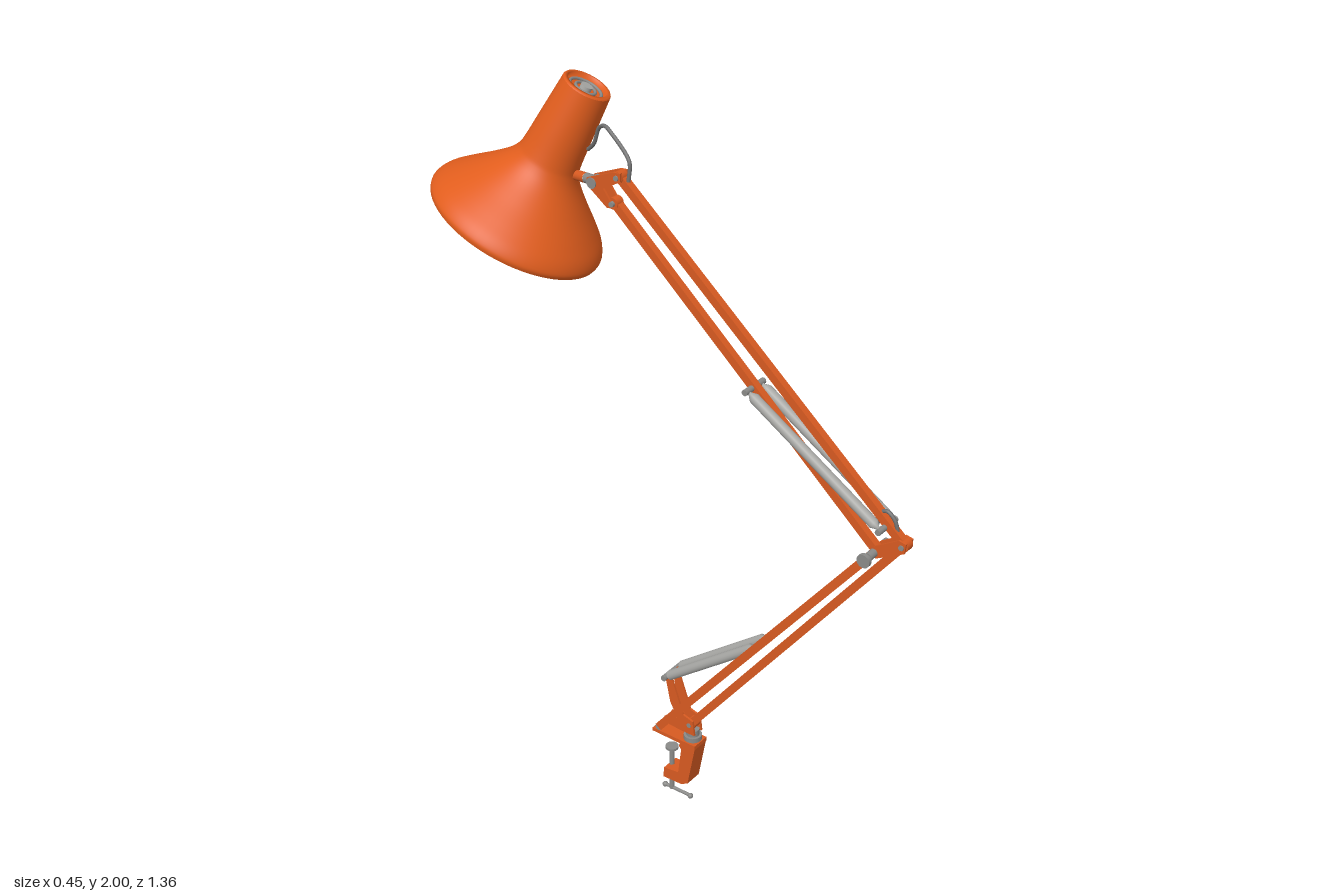
import * as THREE from 'three';

const mat = (name, color) => {
  const m = new THREE.MeshStandardMaterial({ color });
  m.name = name;
  return m;
};

export function createModel() {
  const shadeOrange = mat('shadeEnamel', 0xe15d1d);
  const orange = mat('armEnamel', 0xd75a21);
  const steel = mat('steel', 0x8a8a88);
  const spring = mat('springGrey', 0xa8a8a5);
  const liner = mat('shadeLining', 0xb4b2ae);
  const glass = mat('bulbGlass', 0xc4c4c2);
  const dark = mat('cableGrey', 0x707070);

  const root = new THREE.Group();
  root.name = 'deskLamp';
  // The arm lies in one upright plane, slightly off centre
  const arm = new THREE.Group();
  arm.name = 'armAndClamp';
  arm.position.x = 0.038;
  root.add(arm);

  const add = (parent, name, geo, material, x = 0, y = 0, z = 0) => {
    const m = new THREE.Mesh(geo, material);
    m.name = name;
    m.position.set(x, y, z);
    parent.add(m);
    return m;
  };
  // Points in the arm plane are [z, y]
  const V = (p, x = 0) => new THREE.Vector3(x, p[1], p[0]);
  const tilt = (a, b) => Math.atan2(b[0] - a[0], b[1] - a[1]);
  const dist = (a, b) => Math.hypot(b[0] - a[0], b[1] - a[1]);
  const between = (name, geo, material, a, b, x = 0) => {
    const m = add(arm, name, geo, material, x, (a[1] + b[1]) / 2, (a[0] + b[0]) / 2);
    m.rotation.x = tilt(a, b);
    return m;
  };
  const rod = (name, a, b, w, t) =>
    between(name, new THREE.BoxGeometry(w, dist(a, b), t), orange, a, b);
  // Round pin running sideways
  const pin = (name, p, r, len, material, x = 0) => {
    const geo = new THREE.CylinderGeometry(r, r, len, 20).rotateZ(Math.PI / 2);
    return add(arm, name, geo, material, x, p[1], p[0]);
  };
  // Flat plate outlined in the arm plane
  const plate = (name, pts, width, x = 0) => {
    const shape = new THREE.Shape(pts.map((p) => new THREE.Vector2(p[0], p[1])));
    const geo = new THREE.ExtrudeGeometry(shape, { depth: width, bevelEnabled: false });
    geo.translate(0, 0, -width / 2).rotateY(-Math.PI / 2);
    return add(arm, name, geo, orange, x);
  };
  const cable = (name, pts, x0, x1, r) => {
    const n = pts.length - 1;
    const curve = new THREE.CatmullRomCurve3(pts.map((p, i) => V(p, x0 + ((x1 - x0) * i) / n)));
    add(arm, name, new THREE.TubeGeometry(curve, 36, r, 8), dark);
  };

  // Joints
  const elbowTop = [0.663, 1.075], elbowLow = [0.589, 1.033];
  const headTop = [-0.175, 1.793], headLow = [-0.19, 1.722];
  const baseFront = [0.05, 0.268], baseBack = [-0.022, 0.255], baseHorn = [-0.02, 0.405];

  // Upper arm: two parallel bars
  rod('upperArmTopBar', elbowTop, headTop, 0.02, 0.022);
  rod('upperArmLowerBar', elbowLow, headLow, 0.02, 0.022);
  // Lower arm: one central bar, and a bowed pair
  rod('lowerArmCentreBar', baseFront, elbowTop, 0.02, 0.022);
  const L = dist(baseBack, elbowLow);
  for (const s of [-1, 1]) {
    const shape = new THREE.Shape();
    shape.moveTo(0.044 * s, -L / 2);
    shape.lineTo(0.06 * s, -L / 2);
    shape.lineTo(0.06 * s, L * 0.08);
    shape.quadraticCurveTo(0.058 * s, L * 0.25, 0.041 * s, L / 2);
    shape.lineTo(0.027 * s, L / 2);
    shape.quadraticCurveTo(0.043 * s, L * 0.25, 0.044 * s, L * 0.08);
    shape.closePath();
    const geo = new THREE.ExtrudeGeometry(shape, { depth: 0.022, bevelEnabled: false, curveSegments: 10 });
    geo.translate(0, 0, -0.011);
    between('lowerArmSideBar', geo, orange, baseBack, elbowLow);
  }

  // Elbow, head and base brackets: pairs of cheek plates
  for (const s of [-1, 1]) {
    plate('elbowBracket', [[0.672, 1.061], [0.594, 1.018], [0.576, 1.032], [0.588, 1.05],
      [0.655, 1.092], [0.675, 1.088]], 0.006, 0.014 * s);
    plate('headBracket', [[-0.162, 1.808], [-0.185, 1.806], [-0.265, 1.772], [-0.262, 1.752],
      [-0.205, 1.71], [-0.182, 1.712], [-0.215, 1.756], [-0.163, 1.786]], 0.006, 0.014 * s);
    plate('baseBracket', [[0.068, 0.24], [0.062, 0.285], [0.03, 0.295], [-0.013, 0.414], [-0.03, 0.405],
      [-0.012, 0.32], [0.012, 0.275], [-0.032, 0.262], [-0.03, 0.244], [0.02, 0.24]], 0.006, 0.016 * s);
  }
  for (const p of [elbowTop, headTop, headLow, baseFront]) {
    pin('pivotBoss', p, 0.015, 0.024, orange);
    pin('pivotPin', p, 0.007, 0.04, steel);
  }
  pin('elbowPin', elbowLow, 0.011, 0.086, steel);
  pin('basePin', baseBack, 0.01, 0.118, steel);
  pin('elbowKnobStem', elbowLow, 0.007, 0.03, steel, -0.05);
  pin('elbowKnob', elbowLow, 0.018, 0.01, steel, -0.06);

  // Balance springs, in pairs between cross pins
  const springPair = (a, b, pinA, pinB) => {
    const len = dist(a, b);
    const prof = [[0.004, -0.5], [0.005, -0.48], [0.0135, -0.45], [0.0135, 0.45], [0.005, 0.48], [0.004, 0.5]]
      .map(([r, t]) => new THREE.Vector2(r, t * len));
    for (const s of [-1, 1]) {
      between('balanceSpring', new THREE.LatheGeometry(prof, 16), spring, a, b, 0.027 * s);
    }
    pin('springPin', a, 0.008, pinA, steel);
    pin('springPin', b, 0.008, pinB, steel);
  };
  springPair([0.61, 1.108], [0.223, 1.354], 0.08, 0.08);
  springPair(baseHorn, [0.265, 0.624], 0.08, 0.09);

  // Cable loops at the elbow and at the head
  cable('elbowCable', [[0.645, 1.085], [0.632, 1.13], [0.61, 1.148], [0.592, 1.138], [0.585, 1.105]], 0, 0, 0.005);
  cable('headCable', [[-0.143, 1.79], [-0.143, 1.835], [-0.16, 1.855], [-0.205, 1.892], [-0.228, 1.903],
    [-0.25, 1.893], [-0.272, 1.845], [-0.295, 1.822]], -0.01, 0.028, 0.005);

  // Swivel post and table clamp
  const post = new THREE.CylinderGeometry(0.018, 0.018, 0.04, 20);
  add(arm, 'swivelPost', post, steel, 0, 0.228, 0.05);
  add(arm, 'swivelCollar', new THREE.CylinderGeometry(0.025, 0.025, 0.014, 20), steel, 0, 0.222, 0.05);
  plate('clampTop', [[0.076, 0.213], [-0.066, 0.213], [-0.066, 0.203], [0.076, 0.201]], 0.054);
  plate('clampBody', [[0.076, 0.206], [0.028, 0.206], [0.022, 0.192], [0.03, 0.18], [0.02, 0.098],
    [-0.028, 0.092], [-0.03, 0.06], [0.03, 0.062], [0.052, 0.074]], 0.052);
  add(arm, 'clampScrew', new THREE.CylinderGeometry(0.007, 0.007, 0.145, 16), steel, 0, 0.08, -0.02);
  add(arm, 'clampPad', new THREE.CylinderGeometry(0.018, 0.018, 0.007, 20), steel, 0, 0.152, -0.02);
  add(arm, 'clampHandle', new THREE.CylinderGeometry(0.005, 0.005, 0.09, 12).rotateX(Math.PI / 2),
    steel, 0, 0.011, 0);
  for (const z of [-0.043, 0.043]) {
    add(arm, 'handleKnob', new THREE.SphereGeometry(0.008, 12, 8), steel, 0, 0.01, z);
  }

  // Joint holding the shade
  const jointPart = (name, a, b, r, material) =>
    add(arm, name, new THREE.TubeGeometry(new THREE.LineCurve3(a, b), 1, r, 14), material);
  const jointMid = V([-0.285, 1.758], 0.007);
  jointPart('shadeJoint', V([-0.25, 1.762]), jointMid, 0.013, steel);
  jointPart('shadeSocket', jointMid, V([-0.345, 1.75], 0.02), 0.013, orange);
  pin('shadeJointPin', [-0.25, 1.762], 0.014, 0.04, steel);

  // Shade, built upright around its own axis and then tilted
  const head = new THREE.Group();
  head.name = 'lampHead';
  head.position.set(-0.002, 1.607, -0.475);
  head.quaternion.setFromUnitVectors(new THREE.Vector3(0, 1, 0),
    new THREE.Vector3(0.095, 0.365, 0.16).normalize());
  root.add(head);
  const V2 = (list) => list.map(([r, y]) => new THREE.Vector2(r, y));
  const lathe = (name, pts, material) => add(head, name, new THREE.LatheGeometry(pts, 64), material);
  const outer = new THREE.SplineCurve(V2([[0.229, 0], [0.231, 0.014], [0.218, 0.038], [0.19, 0.068],
    [0.145, 0.112], [0.104, 0.156], [0.084, 0.188], [0.077, 0.22], [0.071, 0.3], [0.063, 0.408]])).getPoints(48);
  lathe('shade', outer, shadeOrange);
  lathe('shadeRim', V2([[0.223, 0], [0.229, 0]]), shadeOrange);
  const inner = new THREE.SplineCurve(V2([[0.07, 0.2], [0.098, 0.152], [0.139, 0.108], [0.184, 0.065],
    [0.212, 0.036], [0.224, 0.014], [0.223, 0]])).getPoints(36);
  lathe('shadeLining', [new THREE.Vector2(0, 0.2), ...inner], liner);
  add(head, 'bulb', new THREE.SphereGeometry(0.062, 32, 20), glass, 0, 0.115, 0);
  add(head, 'bulbNeck', new THREE.CylinderGeometry(0.03, 0.035, 0.05, 24), glass, 0, 0.175, 0);

  // Recessed cap with concentric rings
  lathe('capEdge', V2([[0.063, 0.408], [0.06, 0.412], [0.052, 0.412], [0.051, 0.398], [0, 0.398]]), shadeOrange);
  for (const r of [0.042, 0.026]) {
    add(head, 'capRing', new THREE.TorusGeometry(r, 0.004, 8, 40).rotateX(Math.PI / 2), steel, 0, 0.4, 0);
  }
  add(head, 'capButton', new THREE.CylinderGeometry(0.015, 0.015, 0.014, 24), spring, 0, 0.402, 0);
  return root;
}
